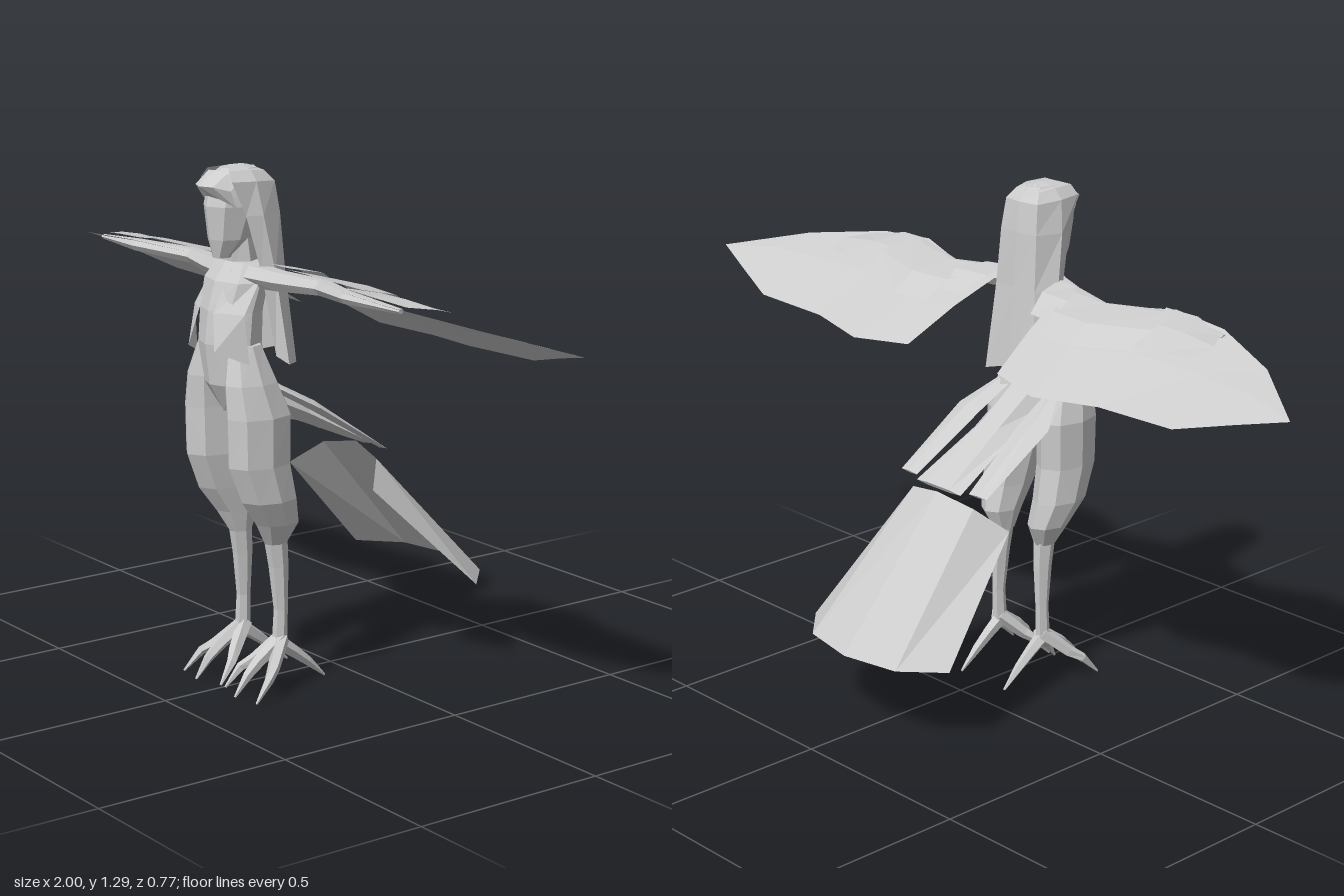
import * as THREE from 'three';

const V = (p) => new THREE.Vector3(p[0], p[1], p[2]);
const grey = new THREE.MeshStandardMaterial({ color: 0xcccccc, flatShading: true, side: THREE.DoubleSide });
grey.name = 'plain grey';

function build(points, index) {
  const g = new THREE.BufferGeometry();
  g.setAttribute('position', new THREE.Float32BufferAttribute(points.flatMap((p) => [p.x, p.y, p.z]), 3));
  g.setIndex(index);
  g.computeVertexNormals();
  return g;
}

// Closed solid through rings { c, u, v }: centre and two half axes
function loft(rings, n) {
  const pts = [], idx = [];
  for (const { c, u, v } of rings) {
    for (let i = 0; i < n; i++) {
      const a = (i / n) * Math.PI * 2;
      pts.push(c.clone().addScaledVector(u, Math.cos(a)).addScaledVector(v, Math.sin(a)));
    }
  }
  for (let k = 0; k < rings.length - 1; k++) {
    for (let i = 0; i < n; i++) {
      const a = k * n + i, b = k * n + (i + 1) % n;
      idx.push(a, b, b + n, a, b + n, a + n);
    }
  }
  const last = (rings.length - 1) * n;
  for (let i = 1; i < n - 1; i++) idx.push(0, i + 1, i, last, last + i, last + i + 1);
  return build(pts, idx);
}

// Upright solid from rows [x, y, z, rx, rz], listed bottom to top
const upright = (rows, n = 8) => loft(rows.map(([x, y, z, rx, rz]) => ({
  c: V([x, y, z]), u: V([rx, 0, 0]), v: V([0, 0, -rz]),
})), n);

// Limb along rows [x, y, z, halfWidth, halfThickness]
function limb(rows, n = 6) {
  const c = rows.map(V);
  return loft(rows.map((r, i) => {
    const d = c[Math.min(i + 1, c.length - 1)].clone().sub(c[Math.max(i - 1, 0)]).normalize();
    const u = d.clone().cross(V([0, 1, 0])).normalize();
    const v = d.clone().cross(u);
    return { c: c[i], u: u.multiplyScalar(r[3]), v: v.multiplyScalar(r[4]) };
  }), n);
}

// Thin sheet through equal-length rows of points
function sheet(rows) {
  const w = rows[0].length, idx = [];
  for (let r = 0; r < rows.length - 1; r++) {
    for (let i = 0; i < w - 1; i++) {
      const a = r * w + i, b = a + w;
      idx.push(a, b, a + 1, a + 1, b, b + 1);
    }
  }
  return build(rows.flat().map(V), idx);
}

// Completes a half row that ends on the centre line
const symmetric = (half) => [...half, ...half.slice(0, -1).reverse().map(([x, y, z]) => [-x, y, z])];

function mirrored(geo) {
  const g = geo.clone().scale(-1, 1, 1);
  g.setIndex(Array.from(geo.index.array).reverse());
  g.computeVertexNormals();
  return g;
}

export function createModel() {
  const model = new THREE.Group();
  const add = (name, geo) => {
    const m = new THREE.Mesh(geo, grey);
    m.name = name;
    model.add(m);
  };
  const pair = (name, geo) => {
    add('left' + name, geo);
    add('right' + name, mirrored(geo));
  };

  // Torso and neck
  add('torso', upright([
    [0, 0.70, 0.27, 0.04, 0.05], [0, 0.77, 0.285, 0.09, 0.075], [0, 0.87, 0.3, 0.085, 0.072],
    [0, 0.95, 0.295, 0.088, 0.068], [0, 1.02, 0.28, 0.1, 0.062], [0, 1.065, 0.265, 0.075, 0.045],
  ]));
  add('neck', upright([[0, 1.04, 0.265, 0.045, 0.045], [0, 1.15, 0.275, 0.035, 0.04]], 6));
  pair('BreastFeathers', sheet([
    [[0.03, 1.05, 0.315], [0.1, 1.04, 0.275]],
    [[0.03, 0.95, 0.368], [0.105, 0.95, 0.33]],
    [[0.055, 0.86, 0.383], [0.11, 0.83, 0.32]],
  ]));

  // Head, brow peak and long hair
  add('head', upright([
    [0, 1.075, 0.32, 0.02, 0.025], [0, 1.12, 0.3, 0.046, 0.056], [0, 1.2, 0.285, 0.064, 0.08],
    [0, 1.265, 0.275, 0.062, 0.07], [0, 1.288, 0.272, 0.04, 0.045],
  ]));
  add('browPeak', sheet([
    symmetric([[0.062, 1.262, 0.315], [0.04, 1.28, 0.33], [0, 1.284, 0.335]]),
    symmetric([[0.06, 1.24, 0.335], [0.036, 1.25, 0.37], [0, 1.25, 0.385]]),
    symmetric([[0.06, 1.2, 0.32], [0.035, 1.22, 0.35], [0, 1.225, 0.36]]),
  ]));
  add('hair', sheet([
    [[0, 1.295, 0.3], [0, 1.295, 0.27], [0, 1.293, 0.25], [0, 1.29, 0.24]],
    [[0.045, 1.285, 0.33], [0.05, 1.285, 0.27], [0.04, 1.28, 0.225], [0, 1.28, 0.215]],
    [[0.065, 1.262, 0.335], [0.073, 1.26, 0.27], [0.055, 1.255, 0.205], [0, 1.255, 0.197]],
    [[0.072, 1.18, 0.3], [0.087, 1.18, 0.26], [0.062, 1.18, 0.195], [0, 1.18, 0.187]],
    [[0.085, 1.04, 0.265], [0.1, 1.04, 0.235], [0.068, 1.04, 0.185], [0, 1.04, 0.18]],
    [[0.1, 0.84, 0.235], [0.14, 0.825, 0.225], [0.085, 0.815, 0.165], [0, 0.84, 0.165]],
  ].map(symmetric)));

  // Feathered thighs, bare shins
  pair('Thigh', upright([
    [0.075, 0.37, 0.223, 0.025, 0.03], [0.085, 0.425, 0.225, 0.045, 0.06], [0.093, 0.49, 0.255, 0.057, 0.077],
    [0.09, 0.58, 0.28, 0.06, 0.087], [0.09, 0.7, 0.28, 0.06, 0.09], [0.08, 0.78, 0.295, 0.05, 0.073],
    [0.06, 0.87, 0.3, 0.035, 0.045],
  ]));
  pair('Shin', upright([
    [0.08, 0.11, 0.215, 0.018, 0.02], [0.08, 0.2, 0.211, 0.016, 0.018],
    [0.077, 0.31, 0.215, 0.021, 0.026], [0.075, 0.4, 0.224, 0.026, 0.032],
  ], 6));

  // Clawed toes
  const toes = [
    [[0.082, 0.125, 0.21], [0.125, 0.07, 0.265], [0.147, 0.05, 0.295], [0.158, 0.002, 0.34]],
    [[0.082, 0.125, 0.21], [0.084, 0.08, 0.28], [0.085, 0.05, 0.315], [0.085, 0.002, 0.353]],
    [[0.078, 0.125, 0.21], [0.042, 0.07, 0.265], [0.02, 0.05, 0.29], [0.01, 0.002, 0.33]],
    [[0.08, 0.12, 0.225], [0.08, 0.085, 0.175], [0.08, 0.05, 0.13], [0.08, 0.003, 0.078]],
  ];
  const toeSize = [0.02, 0.016, 0.012, 0.003];
  toes.forEach((path, i) => pair('Toe' + (i + 1), limb(path.map((p, k) => [...p, toeSize[k], toeSize[k]]), 5)));

  // Arms carrying the wings
  pair('Arm', limb([
    [0.06, 1.035, 0.27, 0.04, 0.03], [0.14, 1.03, 0.25, 0.032, 0.026], [0.27, 1.03, 0.22, 0.026, 0.02],
    [0.44, 1.04, 0.278, 0.02, 0.016], [0.62, 1.035, 0.265, 0.008, 0.006],
  ]));

  // Wing blade: leading edge, cambered middle and trailing edge per rib
  const ribs = [
    [[0.11, 1.04, 0.24], [0.16, 0.9, -0.03]],
    [[0.26, 1.04, 0.235], [0.32, 0.89, -0.07]],
    [[0.44, 1.055, 0.297], [0.5, 0.9, -0.03]],
    [[0.6, 1.045, 0.287], [0.73, 0.905, -0.03]],
    [[0.81, 1.015, 0.2], [0.87, 0.94, 0.015]],
    [[1, 0.97, 0.06], [1, 0.97, 0.06]],
  ];
  pair('Wing', sheet(ribs.map(([a, b], i) => {
    const mid = V(a).lerp(V(b), 0.5);
    mid.y += i < 5 ? 0.008 : 0;
    return [a, mid.toArray(), b];
  })));

  // Covert feathers lying over the wing
  pair('InnerCoverts', sheet([
    [[0.13, 1.055, 0.23], [0.27, 1.05, 0.22], [0.47, 1.06, 0.26]],
    [[0.19, 1.03, 0.13], [0.31, 1.03, 0.12], [0.48, 1.04, 0.17]],
    [[0.2, 0.985, 0.07], [0.31, 0.985, 0.06], [0.47, 1.0, 0.11]],
  ]));
  pair('OuterCoverts', sheet([
    [[0.42, 1.06, 0.28], [0.52, 1.058, 0.285], [0.62, 1.042, 0.25]],
    [[0.46, 1.045, 0.2], [0.55, 1.045, 0.2], [0.655, 1.035, 0.19]],
    [[0.47, 1.01, 0.11], [0.56, 1.015, 0.12], [0.64, 1.02, 0.135]],
  ]));
  pair('ShoulderFeathers', sheet([
    [[0.09, 1.065, 0.25], [0.16, 1.062, 0.24]],
    [[0.1, 1.05, 0.18], [0.2, 1.05, 0.17]],
    [[0.12, 1.01, 0.12], [0.19, 1.01, 0.11]],
  ]));

  // Tail base, hip feathers and curved fan
  add('tailBase', limb([
    [0, 0.74, 0.25, 0.07, 0.06], [0, 0.675, 0.11, 0.065, 0.028], [0, 0.575, -0.075, 0.08, 0.006],
  ]));
  pair('HipFeather', limb([
    [0.08, 0.79, 0.28, 0.02, 0.01], [0.115, 0.71, 0.14, 0.045, 0.012], [0.125, 0.58, -0.06, 0.03, 0.004],
  ], 4));
  add('tailFan', sheet([
    symmetric([[0.175, 0.487, 0], [0.11, 0.545, -0.06], [0, 0.566, -0.08]]),
    symmetric([[0.25, 0.216, -0.27], [0.155, 0.216, -0.36], [0, 0.216, -0.39]]),
  ]));

  return model;
}
